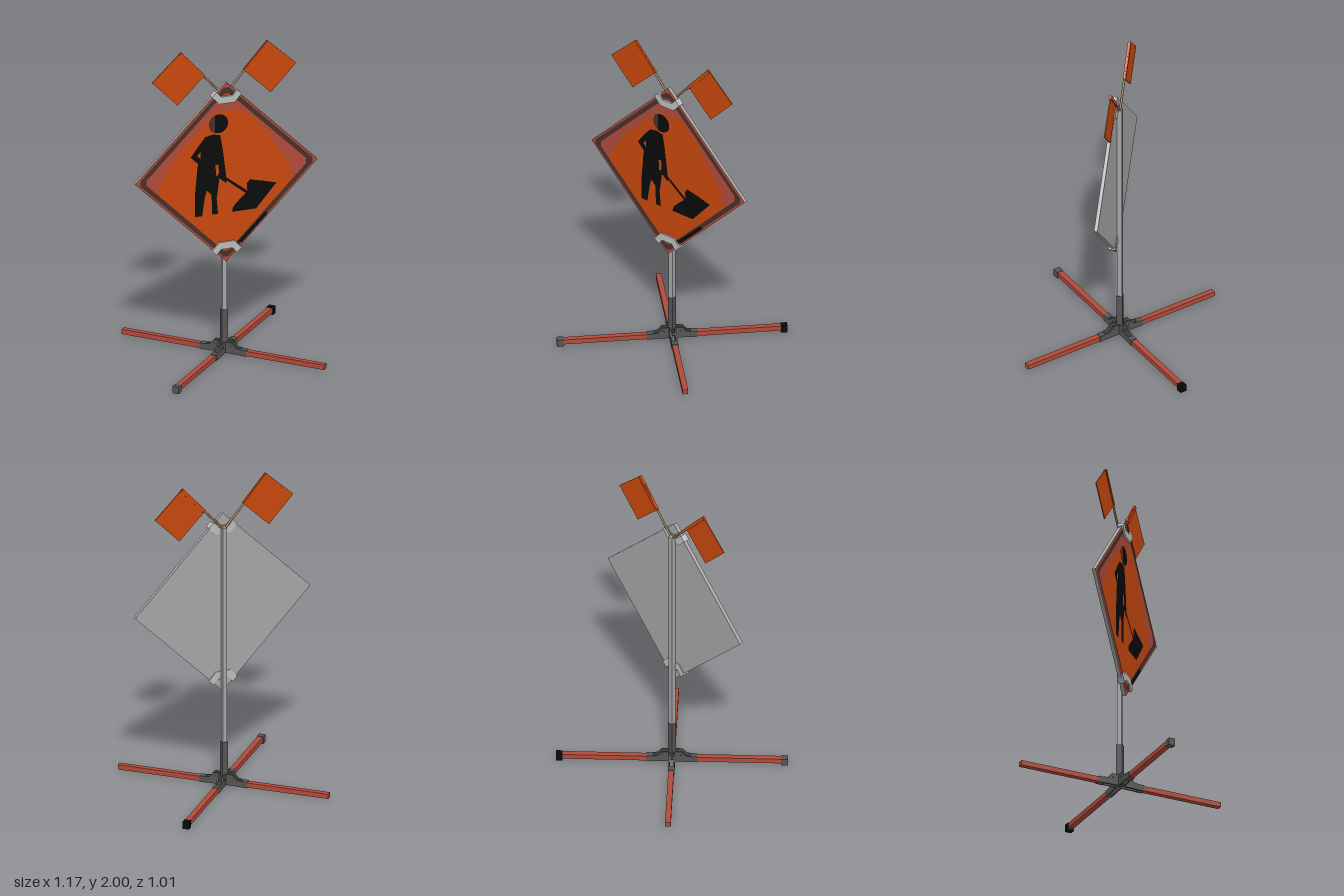
import * as THREE from 'three';

const mat = (name, color, side = THREE.FrontSide) => {
  const m = new THREE.MeshStandardMaterial({ color, side });
  m.name = name;
  return m;
};
const M = {
  orange: mat('orange', 0xc8480c),
  red: mat('faded red', 0xb04a3a),
  grey: mat('aluminium', 0xa6a6a6),
  light: mat('light clamp grey', 0xbcbebc),
  dark: mat('dark steel', 0x555553),
  black: mat('black', 0x0a0a0a),
  brown: mat('border brown', 0x48302a),
  tan: mat('wood', 0x957048),
};

const SIGN_Y = 1.195, HALF = 0.583, FACE_Z = 0.0385;

function add(parent, name, geo, material, x = 0, y = 0, z = 0) {
  const mesh = new THREE.Mesh(geo, material);
  mesh.name = name;
  mesh.position.set(x, y, z);
  parent.add(mesh);
  return mesh;
}
const box = (w, h, d) => new THREE.BoxGeometry(w, h, d);
const poly = pts => new THREE.Shape(pts.map(p => new THREE.Vector2(p[0], p[1])));
const slab = (shape, depth) => new THREE.ExtrudeGeometry(shape, { depth, bevelEnabled: false });

// diamond with its four tips cut off at distance cut from the centre
function diamond(half, cut) {
  const s = half - cut;
  return [[cut, -s], [cut, s], [s, cut], [-s, cut], [-cut, s], [-cut, -s], [-s, -cut], [s, -cut]];
}

function makeSign() {
  const sign = new THREE.Group();
  sign.name = 'sign';
  const side = HALF * Math.SQRT2;
  add(sign, 'signPanel', box(side, side, 0.022), M.grey, 0, SIGN_Y, 0.027).rotation.z = Math.PI / 4;

  // each painted layer lies just in front of the previous one
  const paint = (name, shape, material, layer, y = 0) =>
    add(sign, name, new THREE.ShapeGeometry(shape, 24), material, 0, y, FACE_Z + layer * 0.0012);

  paint('redFace', poly(diamond(HALF, HALF - 0.002)), M.red, 0, SIGN_Y);
  paint('orangeField', poly([[0, 0.66], [0.17, 0.82], [0.43, 1.08], [0.4, 1.2], [0.3, 1.36], [0.2, 1.5],
    [0.1, 1.585], [-0.06, 1.59], [-0.16, 1.5], [-0.3, 1.36], [-0.4, 1.22], [-0.45, 1.12]]), M.orange, 1);

  const stripe = poly(diamond(0.566, 0.55));
  stripe.holes.push(poly(diamond(0.526, 0.51)));
  paint('borderStripe', stripe, M.brown, 2, SIGN_Y);
  paint('edgeMark', poly([[0.07, 0.73], [0.1, 0.725], [0.265, 0.89], [0.25, 0.905]]), M.black, 3);

  // worker pictogram
  const body = poly([[-0.135, 1.44], [-0.085, 1.45], [-0.04, 1.44], [-0.025, 1.36], [-0.005, 1.2], [0.002, 1.12],
    [-0.045, 1.16], [-0.055, 1.08], [-0.062, 1.03], [-0.053, 0.93], [-0.09, 0.93], [-0.095, 1.06], [-0.125, 1.09],
    [-0.137, 1.05], [-0.155, 0.93], [-0.2, 0.93], [-0.2, 1.08], [-0.185, 1.25], [-0.18, 1.27], [-0.228, 1.32],
    [-0.18, 1.385]]);
  body.holes.push(poly([[-0.07, 1.25], [-0.05, 1.25], [-0.047, 1.18], [-0.065, 1.18]]));
  body.holes.push(poly([[-0.185, 1.325], [-0.165, 1.35], [-0.165, 1.3]]));
  paint('workerBody', body, M.black, 2);
  const head = new THREE.Shape();
  head.absarc(-0.05, 1.515, 0.061, 0, Math.PI * 2);
  paint('workerHead', head, M.black, 2);
  const cheek = new THREE.Shape();
  cheek.absarc(-0.05, 1.515, 0.06, Math.PI * 0.62, Math.PI * 1.38);
  paint('workerCheek', cheek, M.brown, 3);
  paint('shovel', poly([[-0.055, 1.185], [-0.045, 1.195], [0.14, 1.05], [0.13, 1.035]]), M.black, 2);
  paint('soilPile', poly([[0.035, 0.93], [0.19, 0.93], [0.32, 1.08], [0.25, 1.1], [0.15, 1.125], [0.13, 1.1],
    [0.135, 1.05], [0.09, 1.01], [0.045, 0.965]]), M.black, 2);

  // clamps holding the top and bottom tips
  const half = [[0.036, 0.70], [0.065, 0.665], [0.095, 0.695], [0.05, 0.745]];
  const outline = [...half, ...half.map(([x, y]) => [-x, y]).reverse()];
  const clampGeo = slab(poly(outline), 0.04);
  add(sign, 'bottomClamp', clampGeo, M.light, 0, 0, 0.011);
  const top = add(sign, 'topClamp', clampGeo, M.light, 0, SIGN_Y * 2, 0.011);
  top.rotation.z = Math.PI;
  return sign;
}

function makeFlag(s) {
  const flag = new THREE.Group();
  flag.name = s > 0 ? 'leftFlag' : 'rightFlag';
  const a = new THREE.Vector2(0.122 * s, 1.826), b = new THREE.Vector2(0.275 * s, 1.997);
  const cloth = [[a.x, a.y], [0.298 * s, 1.655], [0.46 * s, 1.823], [b.x, b.y]];
  add(flag, 'flagCloth', slab(poly(cloth), 0.006), M.orange, 0, 0, -0.003);

  // sewn pocket around the stick
  const dir = b.clone().sub(a), angle = Math.atan2(dir.y, dir.x);
  const inward = new THREE.Vector2(s, -1).multiplyScalar(0.008);
  const mid = a.clone().add(b).multiplyScalar(0.5).add(inward);
  add(flag, 'flagPocket', box(dir.length() - 0.004, 0.02, 0.018), M.orange, mid.x, mid.y, 0).rotation.z = angle;

  const foot = new THREE.Vector2(0.012 * s, 1.69), end = b.clone().add(inward).sub(dir.clone().multiplyScalar(0.05));
  const stick = end.clone().sub(foot), c = foot.clone().add(end).multiplyScalar(0.5);
  add(flag, 'flagStick', new THREE.CylinderGeometry(0.007, 0.007, stick.length(), 8), M.tan, c.x, c.y, 0)
    .rotation.z = Math.atan2(stick.y, stick.x) - Math.PI / 2;
  return flag;
}

// one leg along local +x with its forked bracket
function makeLeg(angle, capMaterial) {
  const leg = new THREE.Group();
  leg.name = 'leg';
  const start = 0.115, end = 0.668;
  add(leg, 'legBar', box(end - start, 0.031, 0.034), M.red, (start + end) / 2, 0.03, 0);
  add(leg, 'legSocket', box(0.04, 0.038, 0.039), M.dark, 0.133, 0.03, 0);
  const cheek = slab(poly([[0.02, 0.014], [0.12, 0.012], [0.12, 0.049], [0.085, 0.055], [0.062, 0.084], [0.02, 0.084]]), 0.009);
  for (const z of [-0.0195, 0.0105]) add(leg, 'bracketCheek', cheek, M.dark, 0, 0, z);
  const pin = add(leg, 'hingePin', new THREE.CylinderGeometry(0.006, 0.006, 0.046, 10), M.dark, 0.055, 0.06, 0);
  pin.rotation.x = Math.PI / 2;
  if (capMaterial) add(leg, 'footCap', box(0.04, 0.046, 0.041), capMaterial, 0.676, 0.025, 0);
  leg.rotation.y = angle;
  return leg;
}

export function createModel() {
  const model = new THREE.Group();
  model.name = 'roadworkSignStand';

  // mast and its lower sleeve
  add(model, 'mast', box(0.028, 1.44, 0.028), M.grey, 0, 0.97, 0);
  add(model, 'mastSleeve', box(0.036, 0.265, 0.036), M.dark, 0, 0.1575, 0);
  add(model, 'hub', box(0.05, 0.03, 0.05), M.dark, 0, 0.06, 0);

  const caps = [M.black, null, M.dark, null];
  caps.forEach((cap, i) => model.add(makeLeg(Math.PI / 4 + i * Math.PI / 2, cap)));

  model.add(makeSign());
  for (const s of [1, -1]) model.add(makeFlag(s));

  // small brackets joining the mast to the panel
  for (const y of [0.71, 1.68]) add(model, 'mastBracket', box(0.05, 0.04, 0.014), M.grey, 0, y, 0.017);
  return model;
}
